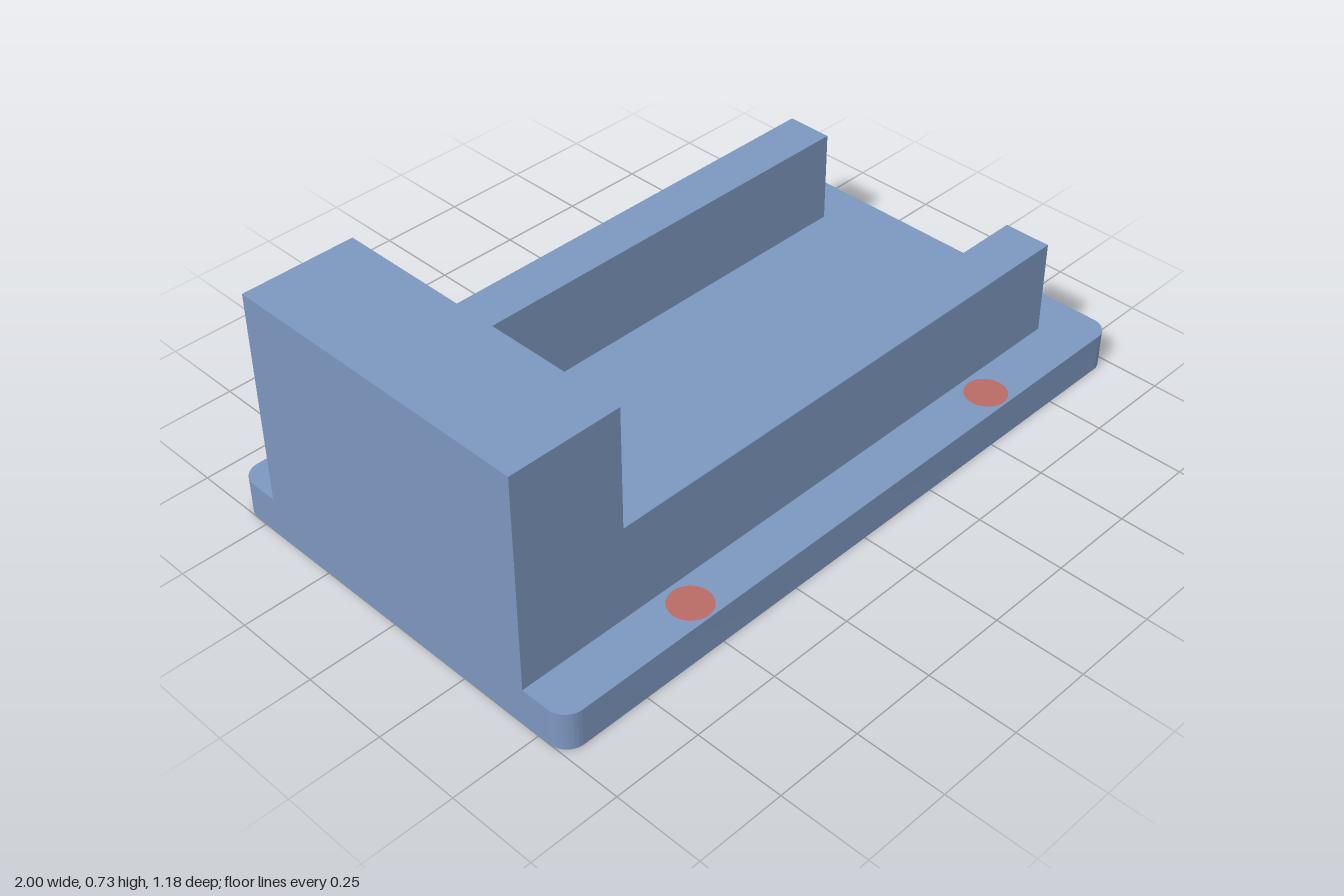
import * as THREE from 'three';
import { toCreasedNormals } from 'three/addons/utils/BufferGeometryUtils.js';

const blue = new THREE.MeshStandardMaterial({ color: 0x7d97bf });
blue.name = 'steel blue';
const red = new THREE.MeshStandardMaterial({ color: 0xb96b66 });
red.name = 'muted red';

const PLATE_H = 0.11, HOLE_R = 0.058;
const HOLES = [-0.545, 0.545].flatMap(x => [-0.525, 0.525].map(z => [x, z]));

// Rounded rectangle with four fixing holes, lying in the ground plane
function plateGeometry(hx, hz, r) {
  const s = new THREE.Shape();
  s.absarc(hx - r, hz - r, r, 0, Math.PI / 2);
  s.absarc(-hx + r, hz - r, r, Math.PI / 2, Math.PI);
  s.absarc(-hx + r, -hz + r, r, Math.PI, Math.PI * 1.5);
  s.absarc(hx - r, -hz + r, r, Math.PI * 1.5, Math.PI * 2);
  s.closePath();
  for (const [x, z] of HOLES) {
    s.holes.push(new THREE.Path().absarc(x, z, HOLE_R, 0, Math.PI * 2, true));
  }
  const g = new THREE.ExtrudeGeometry(s, { depth: PLATE_H, bevelEnabled: false, curveSegments: 16 });
  g.rotateX(-Math.PI / 2);
  return toCreasedNormals(g, 0.6);
}

// Box given by its limits on each axis
function block(name, x0, x1, y0, y1, z0, z1) {
  const m = new THREE.Mesh(new THREE.BoxGeometry(x1 - x0, y1 - y0, z1 - z0), blue);
  m.position.set((x0 + x1) / 2, (y0 + y1) / 2, (z0 + z1) / 2);
  m.name = name;
  return m;
}

export function createModel() {
  const model = new THREE.Group();
  model.name = 'railedBracket';

  // Base plate
  const plate = new THREE.Mesh(plateGeometry(1, 0.59, 0.055), blue);
  plate.name = 'basePlate';
  model.add(plate);

  // Tall end block and the two rails running from it
  model.add(block('endBlock', -1, -0.683, PLATE_H, 0.728, -0.453, 0.453));
  model.add(block('frontRail', -0.683, 0.862, PLATE_H, 0.383, 0.318, 0.453));
  model.add(block('backRail', -0.683, 0.862, PLATE_H, 0.383, -0.453, -0.318));

  // Plugs filling the fixing holes, flush with both faces
  const plugGeometry = new THREE.CylinderGeometry(HOLE_R, HOLE_R, PLATE_H, 32);
  for (const [x, z] of HOLES) {
    const plug = new THREE.Mesh(plugGeometry, red);
    plug.position.set(x, PLATE_H / 2, z);
    plug.name = 'fixingPlug';
    model.add(plug);
  }
  return model;
}
